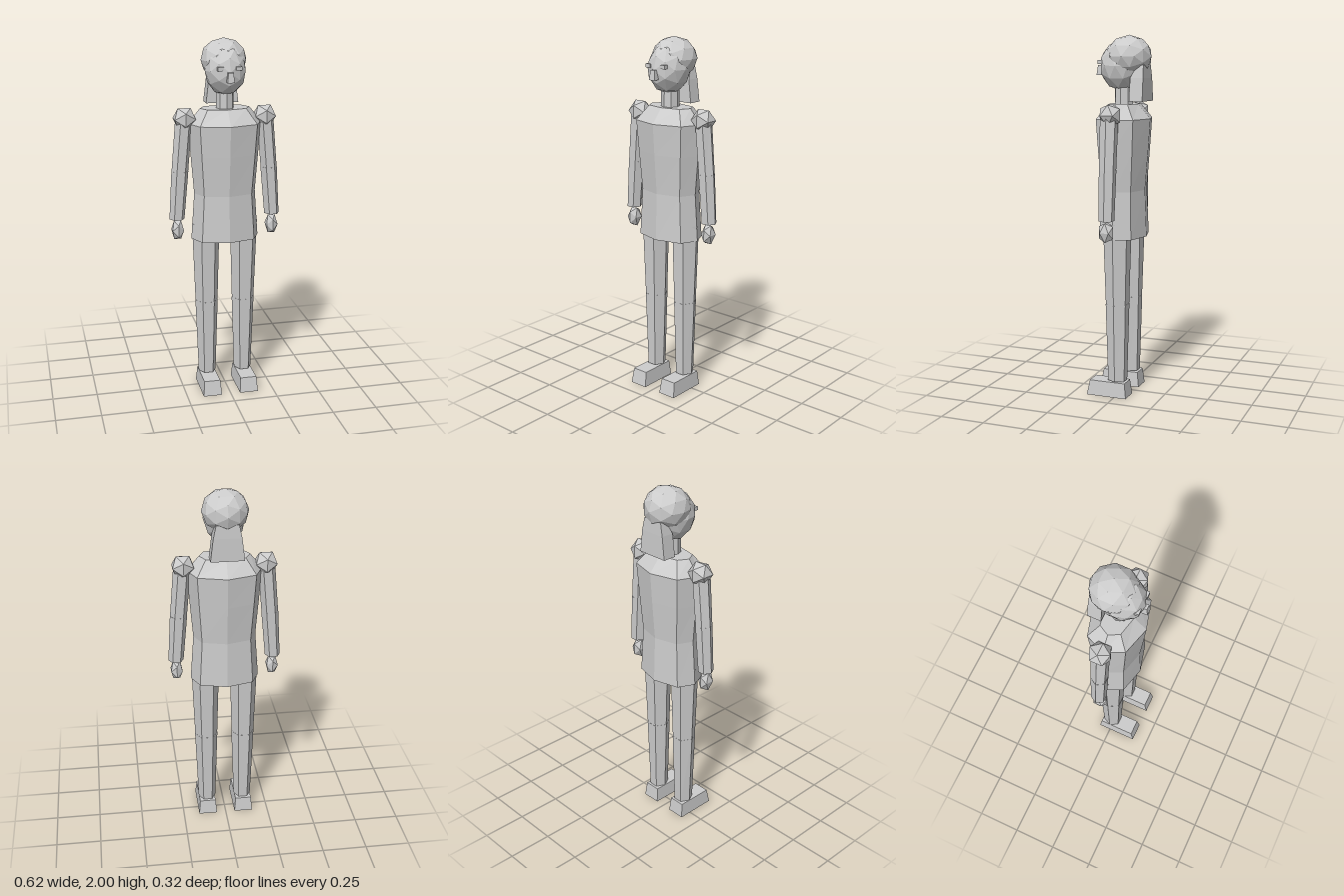
import * as THREE from 'three';

const grey = new THREE.MeshStandardMaterial({ color: 0xcccccc, flatShading: true });
grey.name = 'plain grey';

// Closed solid through horizontal rings of [x, y, z] points, listed bottom to top
function loft(rings) {
  const p = [];
  const n = rings[0].length;
  for (let r = 0; r + 1 < rings.length; r++) {
    const a = rings[r], b = rings[r + 1];
    for (let i = 0; i < n; i++) {
      const j = (i + 1) % n;
      p.push(...a[i], ...a[j], ...b[j], ...a[i], ...b[j], ...b[i]);
    }
  }
  const low = rings[0], top = rings[rings.length - 1];
  for (let i = 1; i + 1 < n; i++) {
    p.push(...low[0], ...low[i + 1], ...low[i]);
    p.push(...top[0], ...top[i], ...top[i + 1]);
  }
  const g = new THREE.BufferGeometry();
  g.setAttribute('position', new THREE.Float32BufferAttribute(p, 3));
  g.computeVertexNormals();
  return g;
}

// Regular ring; diag widens the diagonal corners of an eight-sided one
function ring(sides, x, y, z, rx, rz, diag = 1) {
  return Array.from({ length: sides }, (_, i) => {
    const a = (i / sides) * Math.PI * 2;
    const k = i % 2 ? diag : 1;
    return [x + Math.cos(a) * rx * k, y, z - Math.sin(a) * rz];
  });
}

// Rectangular ring
const rect = (x0, x1, y, z0, z1) => [[x1, y, z1], [x1, y, z0], [x0, y, z0], [x0, y, z1]];

function createModel() {
  const model = new THREE.Group();
  model.name = 'figure';

  const add = (name, geometry, parent = model) => {
    const mesh = new THREE.Mesh(geometry, grey);
    mesh.name = name;
    parent.add(mesh);
    return mesh;
  };
  const ball = (name, detail, pos, size, parent = model) => {
    const mesh = add(name, new THREE.IcosahedronGeometry(1, detail), parent);
    mesh.position.set(...pos);
    mesh.scale.set(...size);
    return mesh;
  };

  // Torso: y, half width, half depth
  const torso = [
    [0.9, 0.19, 0.13],
    [1.16, 0.172, 0.12],
    [1.38, 0.19, 0.138],
    [1.55, 0.203, 0.15],
    [1.63, 0.137, 0.08],
  ];
  add('torso', loft(torso.map(([y, rx, rz]) => ring(8, 0, y, -0.004, rx, rz, 1.09))));
  add('neck', loft([ring(8, 0, 1.6, 0, 0.05, 0.053), ring(8, 0, 1.76, 0, 0.047, 0.05)]));

  // Head and hair
  ball('head', 1, [0, 1.835, 0.01], [0.112, 0.137, 0.125]);
  ball('hairCap', 1, [0, 1.885, -0.031], [0.125, 0.115, 0.127]);
  add('hairBack', loft([
    rect(-0.09, 0.09, 1.645, -0.138, -0.062),
    rect(-0.075, 0.075, 1.77, -0.137, -0.064),
    rect(-0.06, 0.06, 1.84, -0.134, -0.1),
  ]));

  // Face
  add('nose', loft([
    rect(-0.019, 0.019, 1.785, 0.1, 0.153),
    rect(-0.014, 0.014, 1.837, 0.1, 0.146),
  ]));
  for (const side of [1, -1]) {
    const eye = add(side > 0 ? 'leftEye' : 'rightEye', new THREE.BoxGeometry(0.033, 0.02, 0.045));
    eye.position.set(side * 0.049, 1.855, 0.104);
  }

  // Limbs
  for (const side of [1, -1]) {
    const word = side > 0 ? 'left' : 'right';
    const arm = new THREE.Group();
    arm.name = word + 'Arm';
    const leg = new THREE.Group();
    leg.name = word + 'Leg';
    model.add(arm, leg);

    ball(word + 'Shoulder', 0, [side * 0.222, 1.577, -0.006], [0.067, 0.067, 0.067], arm);
    add(word + 'UpperArm', loft([
      ring(6, side * 0.25, 1.29, -0.003, 0.046, 0.046),
      ring(6, side * 0.224, 1.59, -0.003, 0.047, 0.05),
    ]), arm);
    add(word + 'Forearm', loft([
      ring(6, side * 0.27, 1.02, -0.003, 0.042, 0.043),
      ring(6, side * 0.25, 1.29, -0.003, 0.047, 0.047),
    ]), arm);
    ball(word + 'Hand', 0, [side * 0.268, 0.957, 0], [0.037, 0.062, 0.047], arm);

    add(word + 'Thigh', loft([
      ring(6, side * 0.106, 0.53, -0.003, 0.064, 0.066),
      ring(6, side * 0.108, 0.985, -0.003, 0.078, 0.08),
    ]), leg);
    add(word + 'Shin', loft([
      ring(6, side * 0.105, 0.09, -0.003, 0.05, 0.055),
      ring(6, side * 0.106, 0.53, -0.003, 0.065, 0.067),
    ]), leg);
    const x = side * 0.106;
    add(word + 'Foot', loft([
      rect(x - 0.053, x + 0.053, 0, -0.07, 0.163),
      rect(x - 0.046, x + 0.046, 0.085, -0.06, 0.147),
    ]), leg);
  }

  return model;
}

export { createModel };
